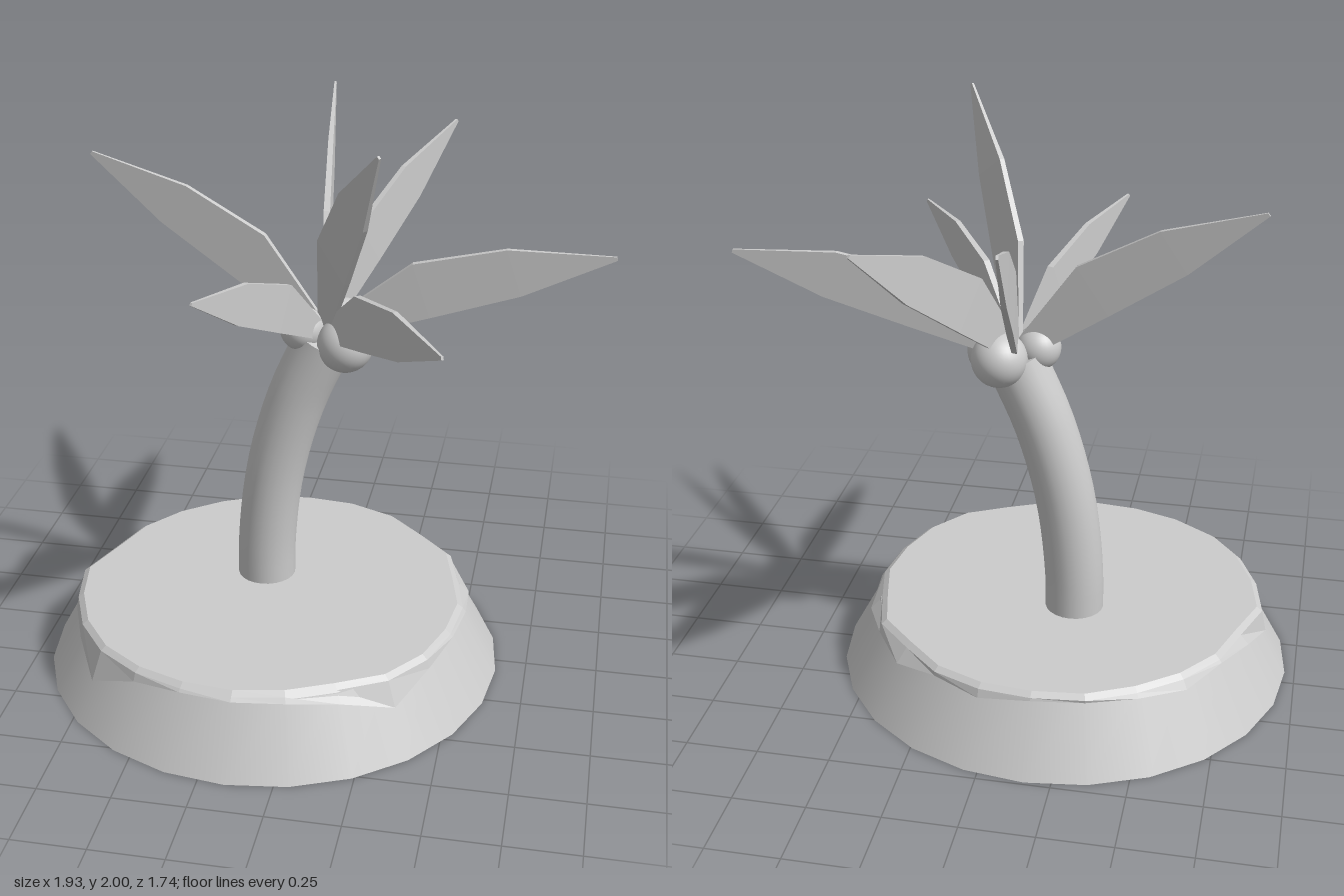
import * as THREE from 'three';

const grey = new THREE.MeshStandardMaterial({ color: 0xcccccc });
const V = (x, y, z) => new THREE.Vector3(x, y, z);

function addMesh(parent, name, geometry, material = grey) {
  const mesh = new THREE.Mesh(geometry, material);
  mesh.name = name;
  parent.add(mesh);
  return mesh;
}

// Closed, faceted solid through a list of equal-length rings of points
function loft(rings) {
  const pos = [];
  const tri = (...pts) => pts.forEach(p => pos.push(p.x, p.y, p.z));
  const n = rings[0].length;
  for (let i = 0; i < rings.length - 1; i++) {
    const lo = rings[i], hi = rings[i + 1];
    for (let j = 0; j < n; j++) {
      const k = (j + 1) % n;
      tri(lo[j], hi[j], hi[k]);
      tri(lo[j], hi[k], lo[k]);
    }
  }
  const first = rings[0], last = rings[rings.length - 1];
  for (let j = 1; j < n - 1; j++) {
    tri(first[0], first[j], first[j + 1]);
    tri(last[0], last[j + 1], last[j]);
  }
  const g = new THREE.BufferGeometry();
  g.setAttribute('position', new THREE.Float32BufferAttribute(pos, 3));
  g.computeVertexNormals();
  return g;
}

const CX = -0.16, CZ = 0.065;             // island centre
const coneRadius = y => 0.805 - 0.545 * y; // island slope

// Top layer: rim radius and height of the ragged lower edge, every 15 degrees
const RIM = [
  [0.68, 0.235], [0.68, 0.24], [0.69, 0.22], [0.69, 0.165], [0.66, 0.22], [0.665, 0.24],
  [0.675, 0.24], [0.68, 0.24], [0.69, 0.22], [0.70, 0.145], [0.70, 0.20], [0.70, 0.205],
  [0.71, 0.17], [0.67, 0.22], [0.68, 0.24], [0.68, 0.22], [0.68, 0.235], [0.69, 0.24],
  [0.685, 0.24], [0.69, 0.22], [0.69, 0.235], [0.67, 0.20], [0.69, 0.22], [0.665, 0.205],
];

function topLayer() {
  const ring = fn => RIM.map(([r, y], i) => {
    const a = i * Math.PI / 12;
    const [rad, h] = fn(r, y);
    return V(CX + rad * Math.cos(a), h, CZ + rad * Math.sin(a));
  });
  return loft([
    ring((r, y) => [0.6, y]),
    ring((r, y) => [coneRadius(y) + 0.014, y]),
    ring(r => [r, 0.25]),
    ring(r => [r - 0.02, 0.265]),
  ]);
}

// Leaf: sections of [fraction of length, arch, half width, half thickness]
const LEAF = [
  [0, 0, 0.03, 0.008],
  [0.36, 0.06, 0.098, 0.011],
  [0.67, 0.04, 0.083, 0.009],
  [1, 0, 0.006, 0.004],
];

function leaf(root, tip, roll) {
  const d = tip.clone().sub(root);
  const len = d.length();
  d.normalize();
  const u = d.clone().cross(V(0, 1, 0)).normalize().cross(d).applyAxisAngle(d, roll);
  const s = u.clone().cross(d);
  return loft(LEAF.map(([t, arch, w, th]) =>
    [[1, -1], [1, 1], [-1, 1], [-1, -1]].map(([a, b]) =>
      root.clone().addScaledVector(d, t * len)
        .addScaledVector(u, (arch + a * w) * len)
        .addScaledVector(s, b * th))));
}

export function createModel() {
  const model = new THREE.Group();
  model.name = 'palmIsland';

  // Island
  const baseH = 0.245;
  addMesh(model, 'islandBase',
    new THREE.CylinderGeometry(coneRadius(baseH), 0.805, baseH, 24)).position.set(CX, baseH / 2, CZ);
  addMesh(model, 'islandTop', topLayer());

  // Bent trunk with a flat end
  const curve = new THREE.CatmullRomCurve3([
    V(-0.21, 0.2, -0.04), V(-0.205, 0.42, -0.04), V(-0.17, 0.7, -0.04),
    V(-0.095, 0.97, -0.04), V(0.005, 1.2, -0.04),
  ]);
  const trunk = new THREE.Group();
  trunk.name = 'trunk';
  model.add(trunk);
  addMesh(trunk, 'trunkStem', new THREE.TubeGeometry(curve, 16, 0.103, 24));
  const cap = addMesh(trunk, 'trunkEnd', new THREE.CircleGeometry(0.103, 24));
  const end = curve.getPoint(1);
  cap.position.copy(end);
  cap.lookAt(end.clone().add(curve.getTangent(1)));

  // Coconuts
  [[0.083, 1.205, 0.01, 0.096], [0.045, 1.225, -0.112, 0.095], [-0.07, 1.24, -0.02, 0.077]]
    .forEach(([x, y, z, r], i) =>
      addMesh(model, `coconut${i + 1}`, new THREE.SphereGeometry(r, 32, 20)).position.set(x, y, z));

  // Leaves: tip position and roll
  const root = V(0, 1.22, -0.04);
  [
    [0.96, 1.535, -0.09, 0], [-0.81, 1.785, -0.115, 0], [0.255, 2.0, 0.455, 0.25],
    [-0.11, 1.865, -0.87, 0], [0.357, 1.785, -0.73, 0], [0.485, 1.488, 0.7, 0],
    [-0.275, 1.575, 0.64, 0],
  ].forEach(([x, y, z, roll], i) =>
    addMesh(model, `leaf${i + 1}`, leaf(root, V(x, y, z), roll)));

  return model;
}
